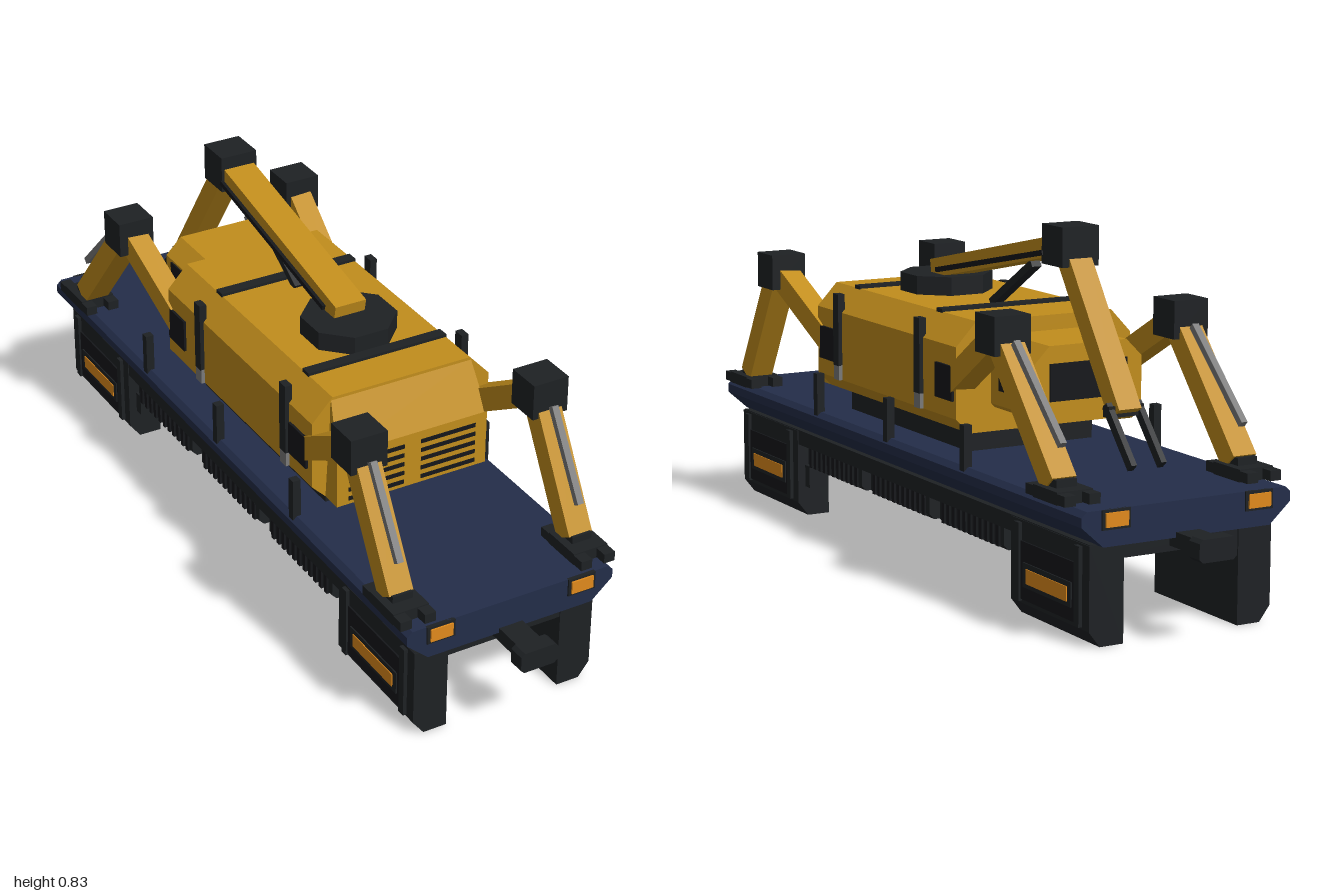
import * as THREE from 'three';

const mat = (color) => new THREE.MeshStandardMaterial({ color, flatShading: true });
const gold = mat(0xc18d1c), navy = mat(0x232d49), dark = mat(0x1e2124);
const black = mat(0x15171a), grey = mat(0x7a7a7a), orange = mat(0xe08a1c);

export function createModel() {
  const root = new THREE.Group();

  const put = (name, geo, m, x = 0, y = 0, z = 0) => {
    const mesh = new THREE.Mesh(geo, m);
    mesh.name = name;
    mesh.position.set(x, y, z);
    root.add(mesh);
    return mesh;
  };
  // Box given by its limits on each axis
  const box = (name, m, x0, x1, y0, y1, z0, z1) =>
    put(name, new THREE.BoxGeometry(Math.abs(x1 - x0), y1 - y0, z1 - z0), m, (x0 + x1) / 2, (y0 + y1) / 2, (z0 + z1) / 2);
  // Cross-section in x and y, extended along z
  const prism = (name, m, pts, z0, z1) => {
    const shape = new THREE.Shape(pts.map(([x, y]) => new THREE.Vector2(x, y)));
    return put(name, new THREE.ExtrudeGeometry(shape, { depth: z1 - z0, bevelEnabled: false }), m, 0, 0, z0);
  };
  const mirrored = (half) => [...half, ...half.map(([x, y]) => [-x, y]).reverse()];
  // Square beam between two points
  const beam = (name, m, a, b, w, h) => {
    const p = new THREE.Vector3(...a), q = new THREE.Vector3(...b);
    const mesh = put(name, new THREE.BoxGeometry(w, h, p.distanceTo(q)), m);
    mesh.position.copy(p).add(q).multiplyScalar(0.5);
    mesh.lookAt(q);
    return mesh;
  };

  // Deck and chassis
  prism('deck', navy, mirrored([[0.21, 0.22], [0.263, 0.267], [0.263, 0.288], [0.25, 0.3]]), -0.885, 0.885);
  box('chassis', dark, -0.228, 0.228, 0.185, 0.222, -0.86, 0.86);

  // Couplers and lamps at both ends
  for (const e of [1, -1]) {
    const ends = (a, b) => (e > 0 ? [a, b] : [-b, -a]);
    box('couplerShaft', dark, -0.03, 0.03, 0.198, 0.232, ...ends(0.85, 0.97));
    const head = mirrored([[0.038, 0.19], [0.047, 0.198], [0.047, 0.232], [0.038, 0.24]]);
    prism('couplerHead', dark, head, ...ends(0.96, 1));
    for (const s of [1, -1]) {
      box('lampFrame', dark, s * 0.145, s * 0.215, 0.257, 0.3, ...ends(0.88, 0.889));
      box('lamp', orange, s * 0.152, s * 0.208, 0.263, 0.294, ...ends(0.885, 0.893));
    }
  }

  for (const s of [1, -1]) {
    // Bogies
    for (const e of [1, -1]) {
      const zc = e * 0.7;
      const pts = [[0.145, 0], [0.203, 0], [0.23, 0.035], [0.23, 0.22], [0.145, 0.22]].map(([x, y]) => [s * x, y]);
      prism('bogie', dark, pts, zc - 0.163, zc + 0.163);
      box('bogiePanel', black, s * 0.225, s * 0.234, 0.045, 0.175, zc - 0.12, zc + 0.12);
      box('bogieLightFrame', dark, s * 0.23, s * 0.237, 0.075, 0.13, zc - 0.1, zc + 0.1);
      box('bogieLight', orange, s * 0.23, s * 0.239, 0.085, 0.118, zc - 0.085, zc + 0.085);
      for (const d of [-0.125, 0.125])
        box('bogieRib', dark, s * 0.225, s * 0.239, 0.04, 0.215, zc + d - 0.01, zc + d + 0.01);
      const zi = e * 0.525;
      box('bogieBuffer', dark, s * 0.165, s * 0.21, 0.075, 0.13, zi - 0.013, zi + 0.013);
    }
    // Ribbed tanks under the sides
    for (const z of [-0.345, 0, 0.345]) {
      const tank = [[0.16, 0.14], [0.17, 0.13], [0.21, 0.13], [0.222, 0.142], [0.222, 0.19], [0.16, 0.19]];
      prism('tank', dark, tank.map(([x, y]) => [s * x, y]), z - 0.148, z + 0.148);
      for (let i = 0; i < 11; i++) {
        const zr = z - 0.125 + i * 0.025;
        box('tankRib', black, s * 0.165, s * 0.227, 0.137, 0.186, zr - 0.006, zr + 0.006);
      }
    }
    // Deck stakes
    for (const z of [-0.37, 0, 0.37])
      box('stake', dark, s * 0.24, s * 0.26, 0.29, 0.395, z - 0.01, z + 0.01);
  }

  // Machine house
  box('houseBase', dark, -0.165, 0.165, 0.295, 0.36, -0.23, 0.36);
  prism('house', gold, mirrored([[0.195, 0.355], [0.23, 0.39], [0.23, 0.555], [0.178, 0.61]]), -0.29, 0.413);

  // Nose with a sloping upper face, narrowing towards the roof
  const nose = new THREE.Shape([[0.4, 0.355], [0.465, 0.355], [0.465, 0.49], [0.412, 0.605], [0.4, 0.605]]
    .map(([z, y]) => new THREE.Vector2(-z, y)));
  const noseGeo = new THREE.ExtrudeGeometry(nose, { depth: 0.39, bevelEnabled: false });
  noseGeo.translate(0, 0, -0.195).rotateY(Math.PI / 2);
  const np = noseGeo.attributes.position;
  for (let i = 0; i < np.count; i++) if (np.getY(i) > 0.5) np.setX(i, np.getX(i) * 0.93);
  noseGeo.computeVertexNormals();
  put('nose', noseGeo, gold);
  for (const s of [1, -1])
    for (let i = 0; i < 5; i++) {
      const y = 0.37 + i * 0.0233;
      box('grilleSlot', black, s * 0.022, s * 0.165, y - 0.005, y + 0.005, 0.46, 0.467);
    }

  // Rear cab
  prism('cab', gold, mirrored([[0.13, 0.41], [0.14, 0.42], [0.14, 0.535], [0.1, 0.575]]), -0.48, -0.28);
  box('rearWindow', black, -0.1, 0.1, 0.45, 0.535, -0.484, -0.47);
  for (const s of [1, -1]) box('sideWindow', black, s * 0.13, s * 0.144, 0.455, 0.53, -0.45, -0.33);

  // Straps over the house
  for (const z of [0.295, -0.12]) {
    box('roofStrap', dark, -0.18, 0.18, 0.605, 0.617, z - 0.014, z + 0.014);
    for (const s of [1, -1]) {
      box('sideStrap', dark, s * 0.222, s * 0.24, 0.425, 0.6, z - 0.014, z + 0.014);
      box('strapBuckle', grey, s * 0.225, s * 0.239, 0.39, 0.427, z - 0.014, z + 0.014);
    }
  }

  // Four outrigger legs: shoulder, elbow and foot positions along z
  for (const [e, shoulder, elbow, foot] of [[1, 0.355, 0.62, 0.78], [-1, -0.24, -0.5, -0.74]])
    for (const s of [1, -1]) {
      box('shoulderPlate', black, s * 0.2, s * 0.236, 0.43, 0.51, shoulder - 0.04, shoulder + 0.04);
      beam('upperArm', gold, [s * 0.205, 0.46, shoulder], [s * 0.23, 0.615, elbow], 0.055, 0.055);
      box('elbow', dark, s * 0.185, s * 0.275, 0.575, 0.662, elbow - 0.043, elbow + 0.043);
      beam('lowerArm', gold, [s * 0.23, 0.61, elbow], [s * 0.23, 0.33, foot], 0.06, 0.055);
      const rodTop = elbow + e * 0.055, rodEnd = foot + e * 0.012;
      beam('legPiston', grey, [s * 0.23, 0.605, rodTop], [s * 0.23, 0.415, rodEnd], 0.016, 0.016);
      const zc = foot + e * 0.015;
      box('foot', dark, s * 0.186, s * 0.274, 0.3, 0.328, zc - 0.05, zc + 0.05);
      box('footAnkle', dark, s * 0.205, s * 0.255, 0.32, 0.345, foot - 0.03, foot + 0.03);
      for (const x of [0.2, 0.26])
        box('footToe', dark, s * (x - 0.014), s * (x + 0.014), 0.302, 0.325, zc - 0.08, zc + 0.08);
    }

  // Crane: turret, boom, elbow, forearm and fork
  const turret = new THREE.CylinderGeometry(0.112, 0.112, 0.045, 8);
  put('turret', turret.rotateY(Math.PI / 8), dark, 0, 0.632, 0.175);
  beam('boom', gold, [0, 0.663, 0.18], [0, 0.785, -0.4], 0.08, 0.045);
  for (const s of [1, -1])
    beam('boomRod', black, [s * 0.046, 0.665, 0.14], [s * 0.046, 0.765, -0.36], 0.008, 0.012);
  beam('boomStrut', dark, [0, 0.61, -0.06], [0, 0.725, -0.25], 0.025, 0.018);
  box('craneElbow', dark, -0.047, 0.047, 0.74, 0.83, -0.445, -0.355);
  beam('forearm', gold, [0, 0.78, -0.4], [0, 0.44, -0.635], 0.058, 0.05);
  box('forkMount', dark, -0.045, 0.045, 0.435, 0.46, -0.64, -0.615);
  for (const s of [1, -1])
    beam('forkProng', dark, [s * 0.038, 0.46, -0.62], [s * 0.038, 0.34, -0.725], 0.014, 0.022);

  return root;
}
